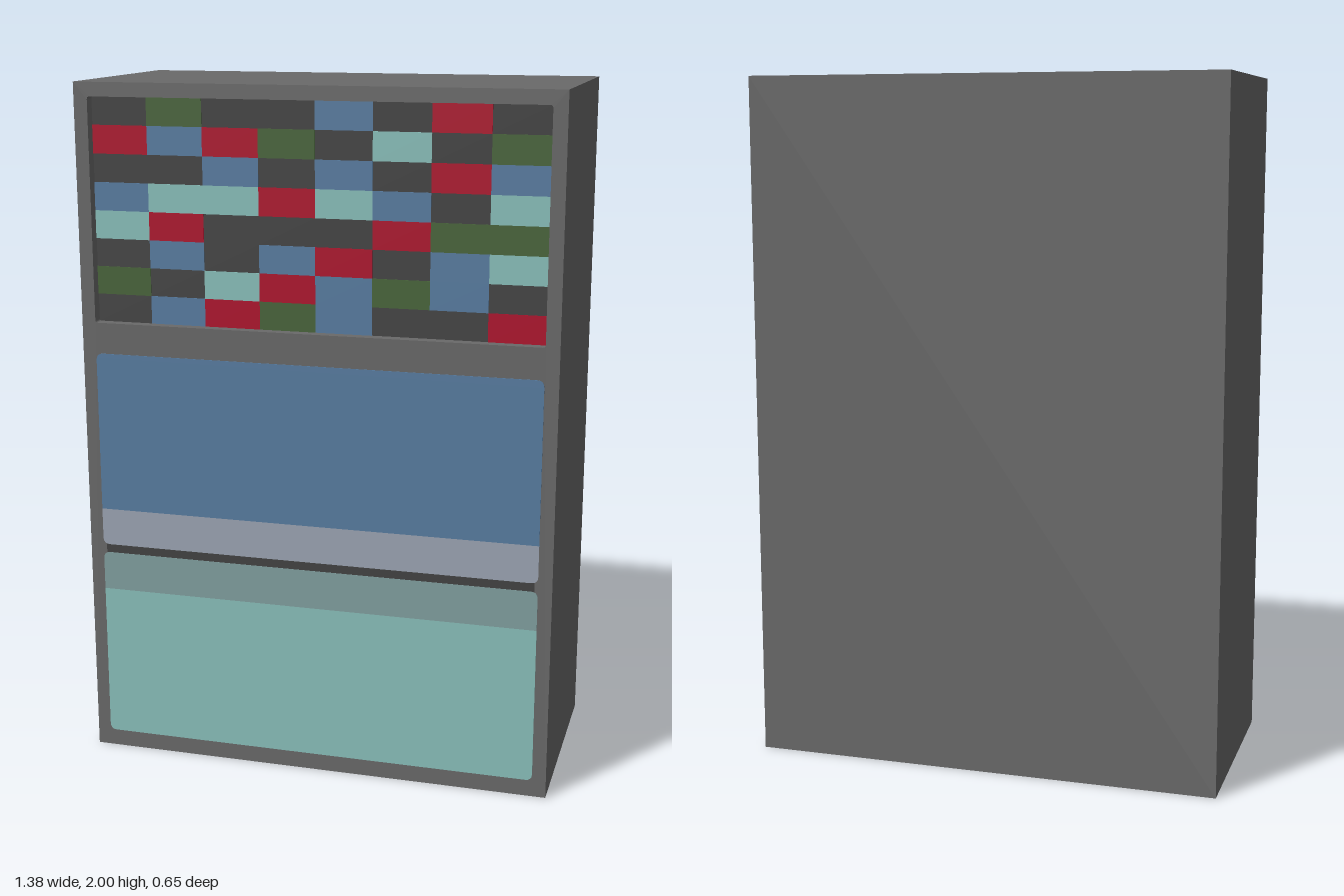
import * as THREE from 'three';

const W = 1.38, H = 2, D = 0.65, RECESS = 0.035, FRONT = D / 2;

function material(name, color) {
  const m = new THREE.MeshStandardMaterial({ color });
  m.name = name;
  return m;
}

// Rectangle outline; r = [top radius, bottom radius]
function outline(x0, y0, x1, y1, [t, b] = [0, 0], target = new THREE.Shape()) {
  target.moveTo(x0 + b, y0);
  target.lineTo(x1 - b, y0);
  if (b) target.quadraticCurveTo(x1, y0, x1, y0 + b);
  target.lineTo(x1, y1 - t);
  if (t) target.quadraticCurveTo(x1, y1, x1 - t, y1);
  target.lineTo(x0 + t, y1);
  if (t) target.quadraticCurveTo(x0, y1, x0, y1 - t);
  target.lineTo(x0, y0 + b);
  if (b) target.quadraticCurveTo(x0, y0, x0 + b, y0);
  return target;
}

export function createModel() {
  const mats = {
    body: material('cabinet grey', 0x6a6a6a),
    D: material('dark grey', 0x434343),
    B: material('blue', 0x587da2),
    T: material('pale teal', 0x8ac1bc),
    R: material('red', 0xb00e2c),
    G: material('green', 0x48653a),
    silver: material('silver blue', 0x9da6b4),
    greyTeal: material('grey teal', 0x82a0a0),
  };
  const root = new THREE.Group();
  root.name = 'cabinet';

  function slab(parent, name, shape, depth, z, mat) {
    const geo = new THREE.ExtrudeGeometry(shape, { depth, bevelEnabled: false, curveSegments: 4 });
    const mesh = new THREE.Mesh(geo, mat);
    mesh.name = name;
    mesh.position.z = z;
    parent.add(mesh);
  }

  // Carcass and front frame with the open shelf
  const x = 0.65, y0 = 1.32, y1 = 1.96;
  slab(root, 'carcass', outline(-W / 2, 0, W / 2, H), D - RECESS, -FRONT, mats.body);
  const frame = outline(-W / 2, 0, W / 2, H);
  frame.holes.push(outline(-x, y0, x, y1, [0.008, 0.008], new THREE.Path()));
  slab(root, 'frontFrame', frame, RECESS, FRONT - RECESS, mats.body);

  // Shelf backing with a grid of coloured tiles, top row first
  const shelf = new THREE.Group();
  shelf.name = 'tiledShelf';
  root.add(shelf);
  slab(shelf, 'shelfBacking', outline(-x, y0, x, y1), 0.003, FRONT - RECESS, mats.D);
  const rows = [
    'DGDDBDRD',
    'RBRGDTDG',
    'DDBDBDRB',
    'BTTRTBDT',
    'TRDDDRGG',
    'DBDBRDBT',
    'GDTRBGBD',
    'DBRGBDDR',
  ];
  const tw = 2 * x / 8, th = (y1 - y0) / 8;
  rows.forEach((row, r) => [...row].forEach((key, c) => {
    if (key === 'D') return;
    const left = -x + c * tw, top = y1 - r * th;
    slab(shelf, `tile_${r}_${c}`, outline(left, top - th, left + tw, top),
      0.002, FRONT - RECESS + 0.003, mats[key]);
  }));

  // Two drawer fronts, each with a grip band beside the dark gap
  const rad = 0.02;
  const panels = [
    ['drawerGap', 0.612, 0.662, [0, 0], 'D', 0.64, 0.001],
    ['upperDrawerFront', 0.76, 1.23, [rad, 0], 'B', x, 0.002],
    ['upperDrawerGrip', 0.65, 0.76, [0, rad], 'silver', x, 0.002],
    ['lowerDrawerGrip', 0.625, 0.51, [rad, 0], 'greyTeal', x, 0.002],
    ['lowerDrawerFront', 0.05, 0.51, [0, rad], 'T', x, 0.002],
  ];
  for (const [name, a, b, r, key, half, depth] of panels) {
    slab(root, name, outline(-half, Math.min(a, b), half, Math.max(a, b), r), depth, FRONT, mats[key]);
  }
  return root;
}
